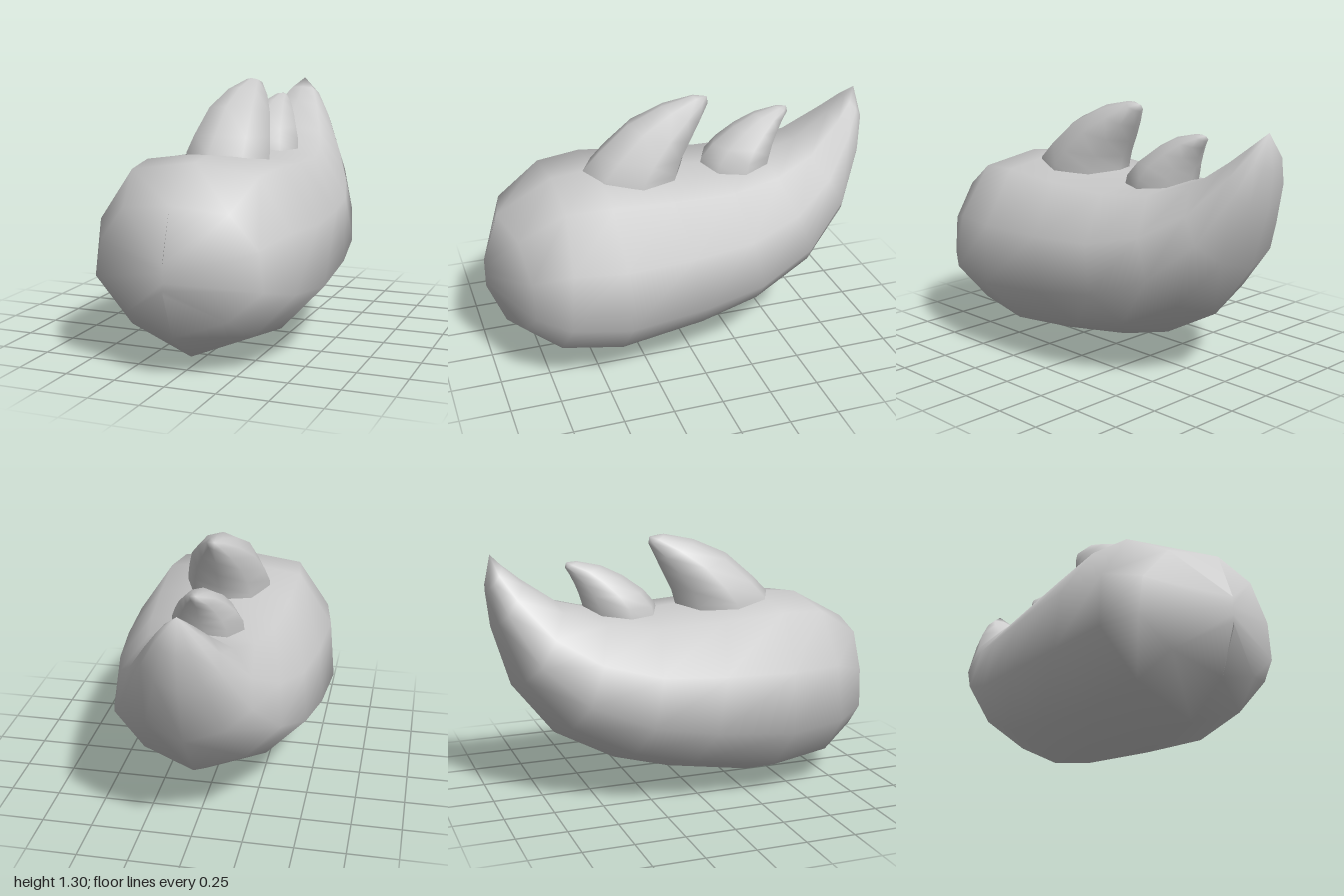
import * as THREE from 'three';
import { mergeVertices } from 'three/addons/utils/BufferGeometryUtils.js';

// Half cross-sections as [width fraction, height fraction], from one centreline end to the other
const BODY_SECTION = [[0, 0], [0.61, 0.14], [1, 0.375], [0.95, 0.68], [0.63, 0.95], [0, 1]];
const SPIKE_SECTION = [[0, 0], [0.68, 0.15], [1, 0.5], [0.68, 0.85], [0, 1]];

// Skin rings given as [z0, y0, z1, y1, halfWidth, sideShift]; each ring spans its two centreline points
function loft(name, section, rings, material) {
  const mirrored = section.slice(1, -1).reverse().map(([w, t]) => [-w, t]);
  const loop = [...section, ...mirrored];
  const n = loop.length;
  const positions = [];
  const index = [];
  rings.forEach(([z0, y0, z1, y1, half, shift = 0], i) => {
    loop.forEach(([w, t], j) => {
      positions.push(w * half, y0 + (y1 - y0) * t, z0 + (z1 - z0) * t + shift * Math.abs(w));
      if (i === rings.length - 1) return;
      const a = i * n + j;
      const b = i * n + ((j + 1) % n);
      index.push(a, a + n, b + n, a, b + n, b);
    });
  });
  let geometry = new THREE.BufferGeometry();
  geometry.setAttribute('position', new THREE.Float32BufferAttribute(positions, 3));
  geometry.setIndex(index);
  geometry = mergeVertices(geometry, 1e-4);
  geometry.computeVertexNormals();
  const mesh = new THREE.Mesh(geometry, material);
  mesh.name = name;
  return mesh;
}

export function createModel() {
  const group = new THREE.Group();
  group.name = 'spikedShell';
  const grey = new THREE.MeshStandardMaterial({ color: 0xcccccc, side: THREE.DoubleSide });

  // Plump body: blunt front ridge, swelling belly, tail curling upward (bottom point, top point)
  group.add(loft('body', BODY_SECTION, [
    [1.0, 0.42, 1.0, 0.57, 0],
    [0.91, 0.2, 0.92, 0.81, 0.41, -0.085],
    [0.7, 0.05, 0.64, 0.965, 0.51],
    [0.38, 0, 0.42, 0.985, 0.556],
    [-0.07, 0.075, 0.12, 0.955, 0.535],
    [-0.37, 0.16, -0.2, 0.935, 0.49],
    [-0.68, 0.33, -0.45, 0.95, 0.405],
    [-0.89, 0.6, -0.65, 1.0, 0.3],
    [-0.98, 0.9, -0.83, 1.125, 0.18],
    [-1.0, 1.08, -0.92, 1.2, 0.1],
    [-0.97, 1.25, -0.97, 1.25, 0],
  ], grey));

  // Swept-back spikes on the centreline (rear point, front point)
  group.add(loft('largeSpike', SPIKE_SECTION, [
    [-0.02, 0.88, 0.5, 0.9, 0.22],
    [-0.03, 0.95, 0.48, 0.98, 0.217],
    [-0.05, 1.02, 0.4, 1.06, 0.2],
    [-0.09, 1.1, 0.25, 1.19, 0.165],
    [-0.13, 1.18, 0.07, 1.27, 0.11],
    [-0.17, 1.26, -0.09, 1.305, 0.045],
    [-0.165, 1.295, -0.165, 1.295, 0],
  ], grey));
  group.add(loft('smallSpike', SPIKE_SECTION, [
    [-0.5, 0.9, -0.12, 0.88, 0.18],
    [-0.52, 0.98, -0.14, 0.96, 0.175],
    [-0.535, 1.03, -0.2, 1.03, 0.15],
    [-0.555, 1.08, -0.31, 1.11, 0.115],
    [-0.58, 1.13, -0.42, 1.165, 0.075],
    [-0.602, 1.165, -0.54, 1.193, 0.035],
    [-0.595, 1.19, -0.595, 1.19, 0],
  ], grey));

  return group;
}
